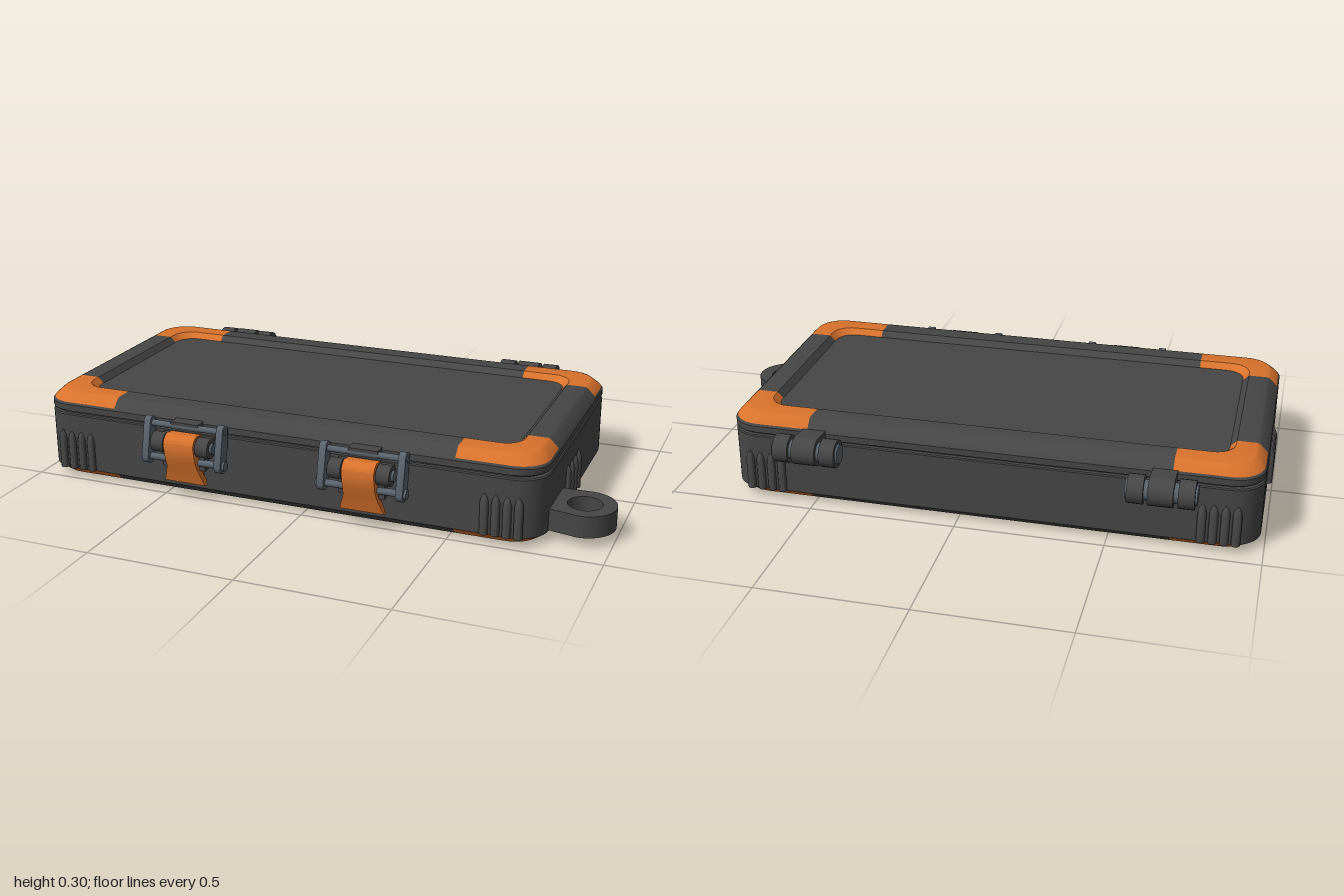
import * as THREE from 'three';
import { toCreasedNormals } from 'three/addons/utils/BufferGeometryUtils.js';

const mat = (name, color, side = THREE.FrontSide) => {
  const m = new THREE.MeshStandardMaterial({ color, side });
  m.name = name;
  return m;
};
const CX = -0.0925, CZ = 0.015;      // centre of the case
const HX = 0.8925, HZ = 0.465;       // half sizes of the case
const SPLIT_X = 0.6075, SPLIT_Z = 0.265; // where the corner guards end

// Rounded rectangle, 11 points per quadrant, inset from the case outline
function outline(inset) {
  const hx = HX - inset, hz = HZ - inset, r = 0.1 - 0.3 * inset;
  const pts = [];
  for (let q = 0; q < 4; q++) {
    const sx = q === 0 || q === 3 ? 1 : -1, sz = q < 2 ? 1 : -1;
    const onX = [sx * hx, sz * SPLIT_Z], onZ = [sx * SPLIT_X, sz * hz];
    pts.push(q % 2 ? onZ : onX);
    for (let i = 0; i <= 8; i++) {
      const a = (q + i / 8) * Math.PI / 2;
      pts.push([sx * (hx - r) + r * Math.cos(a), sz * (hz - r) + r * Math.sin(a)]);
    }
    pts.push(q % 2 ? onX : onZ);
  }
  return pts;
}

// Sweep an [inset, y] profile round the case: 'corner', 'side' or 'all' segments
function sweep(profile, which) {
  const rings = profile.map(([inset, y]) => outline(inset).map(([x, z]) => [x + CX, y, z + CZ]));
  const pos = [];
  for (let j = 0; j < rings.length - 1; j++) {
    for (let i = 0; i < 44; i++) {
      const kind = i % 11 === 10 ? 'side' : 'corner';
      if (which !== 'all' && which !== kind) continue;
      const k = (i + 1) % 44;
      const a = rings[j][i], b = rings[j][k], c = rings[j + 1][i], d = rings[j + 1][k];
      pos.push(...a, ...c, ...b, ...b, ...c, ...d);
    }
  }
  const g = new THREE.BufferGeometry();
  g.setAttribute('position', new THREE.Float32BufferAttribute(pos, 3));
  return toCreasedNormals(g, 0.5);
}

export function createModel() {
  const dark = mat('darkPlastic', 0x464646);
  const orange = mat('orangeRubber', 0xd8722c);
  const metal = mat('greyMetal', 0x59636c);
  const root = new THREE.Group();
  root.name = 'protectiveCase';

  const add = (parent, name, geo, material, x = 0, y = 0, z = 0) => {
    const m = new THREE.Mesh(geo, material);
    m.name = name;
    m.position.set(x, y, z);
    parent.add(m);
    return m;
  };
  const group = (name, x, y, z) => {
    const g = new THREE.Group();
    g.name = name;
    g.position.set(x, y, z);
    root.add(g);
    return g;
  };
  // Cylinder lying along x
  const rod = (r, len) => new THREE.CylinderGeometry(r, r, len, 24).rotateZ(Math.PI / 2);
  // Extrusion of a (z, y) outline along x, centred on x = 0
  const sideExtrude = (shape, width) => new THREE.ExtrudeGeometry(shape, { depth: width, bevelEnabled: false, curveSegments: 12 })
    .translate(0, 0, -width / 2).rotateY(-Math.PI / 2);

  // Walls of the base and lid with the seam groove between them
  add(root, 'base', sweep([[0, 0.03], [0, 0.225], [0.003, 0.229], [0.014, 0.23]], 'all'), dark);
  add(root, 'seal', sweep([[0.014, 0.23], [0.014, 0.237]], 'all'), dark);
  add(root, 'lid', sweep([[0.014, 0.237], [0.002, 0.238], [0, 0.241], [0, 0.262], [0.005, 0.269]], 'all'), dark);

  // Raised rims above and below: corner guards and the rails between them
  const topRim = [[0.005, 0.269], [0.009, 0.274], [0.032, 0.297], [0.04, 0.3], [0.105, 0.3], [0.125, 0.28]];
  const bottomRim = [[0.125, 0.02], [0.105, 0], [0.038, 0], [0.03, 0.003], [0, 0.03]];
  for (const [level, rim] of [['top', topRim], ['bottom', bottomRim]]) {
    add(root, level + 'CornerGuards', sweep(rim, 'corner'), orange);
    add(root, level + 'Rails', sweep(rim, 'side'), dark);
  }

  // Recessed panels
  const panel = new THREE.ShapeGeometry(new THREE.Shape(outline(0.125).map(([x, z]) => new THREE.Vector2(x, z))));
  add(root, 'topPanel', panel.clone().rotateX(-Math.PI / 2), dark, CX, 0.28, CZ);
  add(root, 'bottomPanel', panel.clone().rotateX(Math.PI / 2), dark, CX, 0.02, CZ);

  // Grip ribs with pointed tops
  const rib = new THREE.LatheGeometry([[0, 0.03], [0.015, 0.03], [0.015, 0.138], [0.01, 0.155], [0, 0.169]]
    .map(([r, y]) => new THREE.Vector2(r, y)), 12);
  const ribGeo = toCreasedNormals(rib.toNonIndexed(), 0.7);
  for (let i = 0; i < 4; i++) {
    for (const s of [-1, 1]) {
      const x = CX + s * (0.707 + i * 0.037);
      add(root, 'frontRib', ribGeo, dark, x, 0, CZ + HZ - 0.002);
      add(root, 'backRib', ribGeo, dark, x, 0, CZ - HZ + 0.002);
      add(root, 'sideRib', ribGeo, dark, CX + s * HX, 0, 0.005 + i * 0.05);
    }
  }

  // Carrying lug: flat eyelet on the left wall
  const lug = new THREE.Shape();
  lug.moveTo(0.78, -0.21);
  lug.lineTo(0.895, -0.205);
  lug.absarc(0.895, -0.307, 0.102, Math.PI / 2, -Math.PI / 2, true);
  lug.lineTo(0.78, -0.385);
  lug.closePath();
  const hole = new THREE.Path();
  hole.absarc(0.895, -0.307, 0.056, 0, Math.PI * 2, false);
  lug.holes.push(hole);
  const lugGeo = new THREE.ExtrudeGeometry(lug, { depth: 0.073, bevelEnabled: false, curveSegments: 32 }).rotateX(-Math.PI / 2);
  add(root, 'lug', toCreasedNormals(lugGeo, 0.5), dark, 0, 0.034, 0);

  // Hinges on the back wall
  const arm = new THREE.Shape([[0, 0.046], [0.075, 0.04], [0.08, 0.005], [0.03, -0.038], [0, -0.03]]
    .map(([z, y]) => new THREE.Vector2(z, y)));
  for (const s of [-1, 1]) {
    const h = group('hinge', CX + s * 0.583, 0.23, -0.517);
    add(h, 'hingeArm', sideExtrude(arm, 0.08), dark);
    add(h, 'hingeKnuckle', rod(0.048, 0.08), dark);
    add(h, 'hingePin', rod(0.033, 0.226), metal);
    for (const e of [-1, 1]) add(h, 'hingeBarrel', rod(0.047, 0.052), dark, e * 0.08);
  }

  // Latch lever: hooked side profile, flared towards its lower end
  const lever = new THREE.Shape();
  lever.moveTo(0.5, 0.232);
  lever.lineTo(0.535, 0.238);
  lever.quadraticCurveTo(0.565, 0.23, 0.566, 0.2);
  lever.lineTo(0.556, 0.15);
  lever.lineTo(0.544, 0.12);
  lever.lineTo(0.528, 0.062);
  lever.lineTo(0.512, 0.06);
  lever.lineTo(0.508, 0.075);
  lever.lineTo(0.522, 0.13);
  lever.lineTo(0.53, 0.19);
  lever.lineTo(0.5, 0.2);
  lever.closePath();
  const leverGeo = sideExtrude(lever, 0.11);
  const p = leverGeo.attributes.position;
  for (let i = 0; i < p.count; i++) {
    const flare = Math.max(0, 0.125 - p.getY(i)) / 0.065;
    p.setX(i, p.getX(i) * (1 + 0.38 * flare));
  }
  const leverFinal = toCreasedNormals(leverGeo, 0.5);

  // Latch side link: capsule-like plate from the lid hook down to the lower pivot
  const link = new THREE.Shape();
  link.absarc(0.507, 0.257, 0.02, 0.17, Math.PI + 0.17, false);
  link.absarc(0.528, 0.143, 0.025, Math.PI + 0.17, Math.PI * 2 + 0.17, false);
  link.closePath();
  const linkGeo = toCreasedNormals(sideExtrude(link, 0.024), 0.5);

  for (const s of [-1, 1]) {
    const l = group('latch', CX + s * 0.317, 0, 0);
    add(l, 'latchLever', leverFinal, orange);
    add(l, 'latchTab', new THREE.BoxGeometry(0.1, 0.018, 0.035), orange, 0, 0.09, 0.502);
    add(l, 'lidHook', new THREE.BoxGeometry(0.1, 0.025, 0.05), dark, 0, 0.257, 0.492);
    add(l, 'latchMount', new THREE.BoxGeometry(0.19, 0.06, 0.04), dark, 0, 0.19, 0.495);
    add(l, 'upperRod', rod(0.011, 0.3), metal, 0, 0.254, 0.507);
    add(l, 'lowerRod', rod(0.012, 0.3), metal, 0, 0.143, 0.528);
    add(l, 'middlePin', rod(0.018, 0.226), metal, 0, 0.2, 0.53);
    for (const e of [-1, 1]) {
      add(l, 'latchLink', linkGeo, metal, e * 0.134);
      add(l, 'latchBarrel', rod(0.034, 0.045), dark, e * 0.082, 0.2, 0.53);
      add(l, 'linkCap', rod(0.017, 0.012), metal, e * 0.148, 0.143, 0.528);
      add(l, 'latchCheek', new THREE.BoxGeometry(0.02, 0.07, 0.03), dark, e * 0.068, 0.15, 0.515);
    }
  }
  return root;
}
